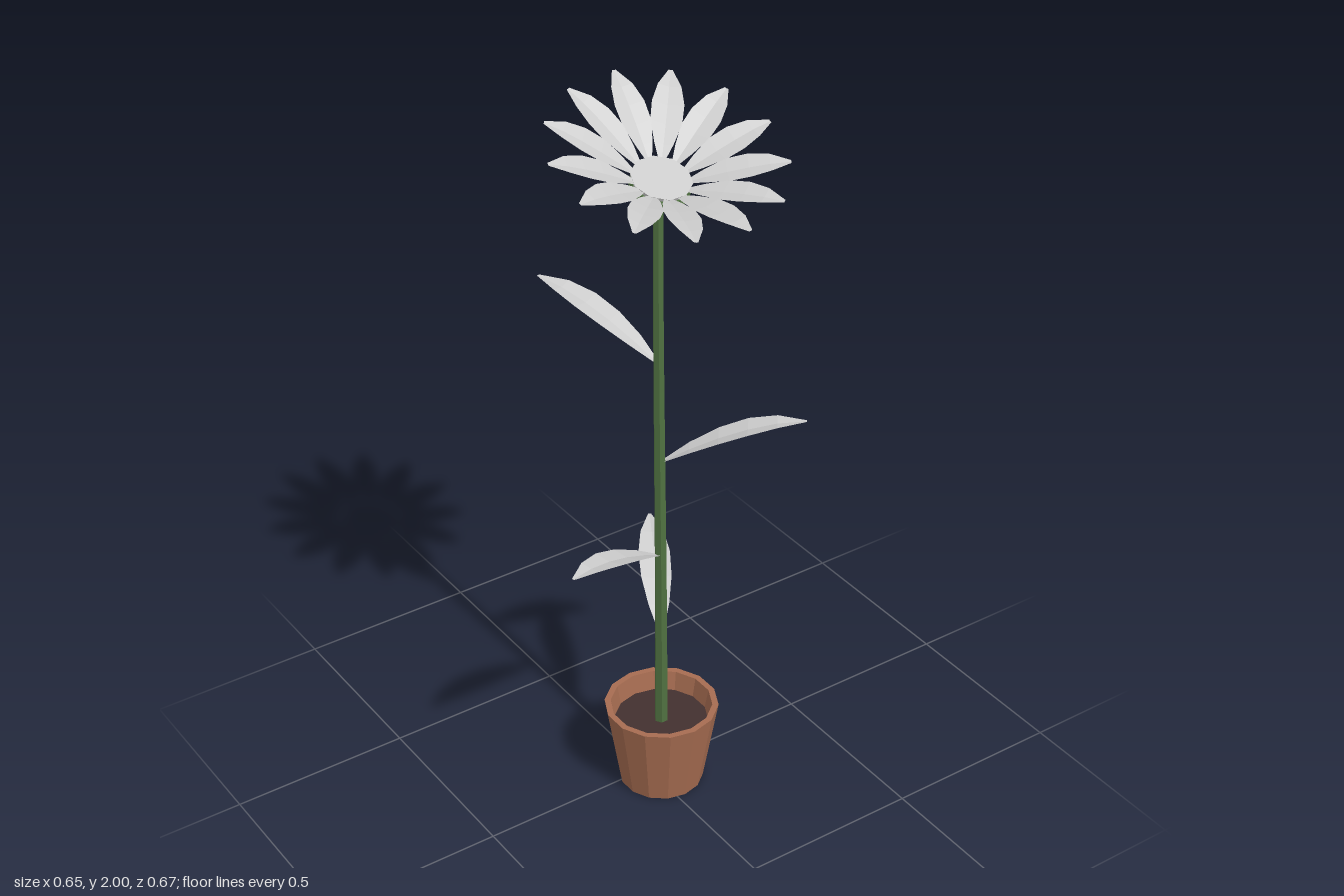
import * as THREE from 'three';

const flat = (name, color, side = THREE.FrontSide) => {
  const m = new THREE.MeshStandardMaterial({ color, side, flatShading: true });
  m.name = name;
  return m;
};

function part(parent, name, geometry, material) {
  const mesh = new THREE.Mesh(geometry, material);
  mesh.name = name;
  parent.add(mesh);
  return mesh;
}

// Blade along +x: V-shaped cross-sections that rise and then flatten out
function bladeGeometry(length, rise, bend, fold, halfWidths) {
  const pos = [], index = [];
  const n = halfWidths.length - 1;
  halfWidths.forEach((w, i) => {
    const t = i / n;
    const x = t * length, y = rise * (1 - (1 - t) ** bend);
    pos.push(x, y + w * fold, -w, x, y, 0, x, y + w * fold, w);
    if (i === n) return;
    for (let j = 0; j < 2; j++) {
      const a = i * 3 + j, b = a + 1, c = a + 3, d = a + 4;
      index.push(a, b, c, b, d, c);
    }
  });
  const g = new THREE.BufferGeometry();
  g.setAttribute('position', new THREE.Float32BufferAttribute(pos, 3));
  g.setIndex(index);
  g.computeVertexNormals();
  return g;
}

const profile = (pts) => pts.map(([r, y]) => new THREE.Vector2(r, y));

export function createModel() {
  const model = new THREE.Group();
  model.name = 'pottedFlower';

  const terracotta = flat('terracotta', 0xa66c51);
  const soilBrown = flat('soil brown', 0x43302f);
  const stemGreen = flat('stem green', 0x4f7040);
  const paleGrey = flat('pale grey', 0xcccccc, THREE.DoubleSide);

  // Pot with a hollow rim, and soil inside
  const pot = part(model, 'pot', new THREE.LatheGeometry(profile([
    [0, 0], [0.115, 0], [0.155, 0.245], [0.138, 0.245], [0.124, 0.17],
  ]), 14), terracotta);
  pot.position.set(0.023, 0, 0.035);
  const soil = part(model, 'soil', new THREE.CylinderGeometry(0.128, 0.124, 0.02, 14), soilBrown);
  soil.position.set(0.023, 0.18, 0.035);

  // Tapered stem, leaning gently backward
  const stemGeo = new THREE.CylinderGeometry(0.0135, 0.0185, 1.56, 6, 6);
  stemGeo.rotateY(Math.PI / 2).translate(0.021, 0.97, 0);
  const p = stemGeo.attributes.position;
  const lean = (y) => 0.037 - 0.022 * THREE.MathUtils.smoothstep(y, 0.2, 1.76);
  for (let i = 0; i < p.count; i++) p.setZ(i, p.getZ(i) + lean(p.getY(i)));
  part(model, 'stem', stemGeo, stemGreen);

  // Leaves: base height, then tip
  const leafWidths = [0.005, 0.028, 0.041, 0.043, 0.031, 0.004];
  [
    [0.475, 0.212, 0.603, -0.297],
    [0.73, -0.328, 0.866, 0.153],
    [1.015, 0.311, 1.156, 0.256],
    [1.305, -0.105, 1.434, -0.337],
  ].forEach(([y, tx, ty, tz]) => {
    const dx = tx - 0.021, dz = tz - lean(y);
    const leaf = part(model, 'leaf', bladeGeometry(Math.hypot(dx, dz), ty - y, 1.65, 0.18, leafWidths), paleGrey);
    leaf.position.set(0.021, y, lean(y));
    leaf.rotation.y = Math.atan2(-dz, dx);
  });

  // Flower head, tilted toward the front
  const head = new THREE.Group();
  head.name = 'flowerHead';
  head.position.set(0.022, 1.82, 0.026);
  head.rotation.x = 0.326;
  model.add(head);

  const calyx = part(head, 'calyx', new THREE.LatheGeometry(profile([
    [0, -0.092], [0.018, -0.09], [0.058, -0.056], [0.079, -0.022], [0.074, -0.01], [0, -0.01],
  ]), 10), stemGreen);
  calyx.rotation.y = Math.PI / 2;
  const disc = part(head, 'centreDisc', new THREE.CylinderGeometry(0.077, 0.075, 0.01, 10), paleGrey);
  disc.rotation.y = Math.PI / 2;

  // Ring of petals, narrow where they meet the disc
  const petalGeo = bladeGeometry(0.245, 0.092, 1.3, 0.2, [0.003, 0.0235, 0.039, 0.04, 0.029, 0.005]);
  petalGeo.translate(0.055, -0.006, 0);
  for (let i = 0; i < 13; i++) {
    part(head, 'petal', petalGeo, paleGrey).rotation.y = (i / 13) * Math.PI * 2;
  }

  return model;
}
